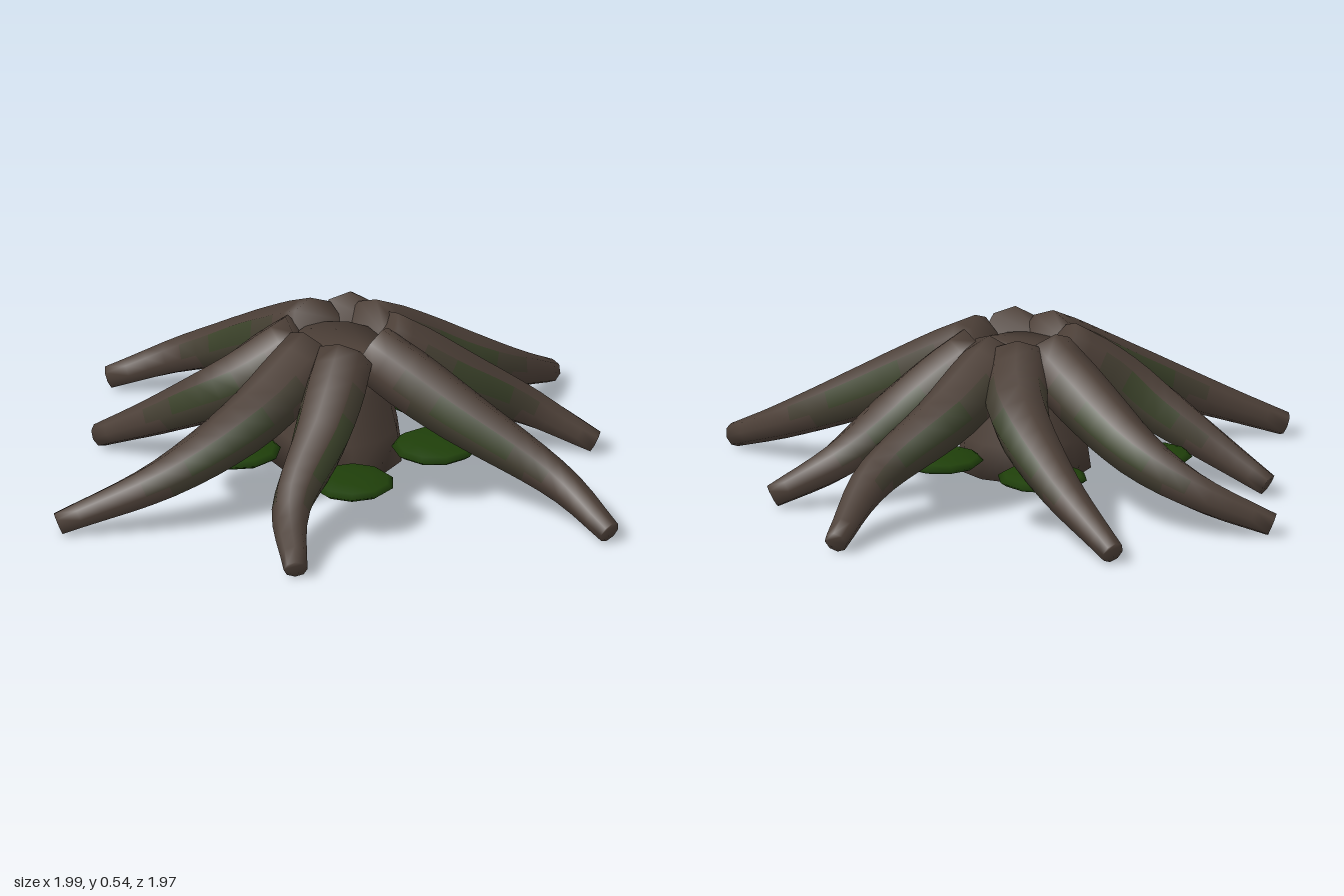
import * as THREE from 'three';

function material(name, color) {
  const m = new THREE.MeshStandardMaterial({ color });
  m.name = name;
  return m;
}
const bark = material('bark', 0x4d4038);
const faintMoss = material('faint moss', 0x443f32);
const moss = material('moss', 0x3b422a);
const leaf = material('leaf green', 0x1f3f0a);

const SIDES = 8, RINGS = 14;
const radii = [0.095, 0.101, 0.094, 0.081, 0.066, 0.051, 0.038];

// Moss grows on the flanks of each root, fading out at both ends
function coverAt(ring, sideIndex) {
  const upperFlank = sideIndex === 0 || sideIndex === 3;
  const lowerFlank = sideIndex === 4 || sideIndex === 7;
  if (upperFlank && ring >= 4 && ring <= 7) return 2;
  if (upperFlank && ring >= 2 && ring <= 9) return 1;
  if (lowerFlank && ring >= 3 && ring <= 8) return 1;
  return 0;
}

// Skin over equal rings of points, capped at both ends and shaded smoothly;
// cover(ring, side) picks the material of each face
function loft(rings, cover) {
  const n = rings[0].length, faces = [[], [], []];
  for (let i = 0; i < rings.length - 1; i++) {
    for (let j = 0; j < n; j++) {
      const a = i * n + j, b = i * n + (j + 1) % n;
      faces[cover(i, j)].push(a, a + n, b, b, a + n, b + n);
    }
  }
  const last = (rings.length - 1) * n;
  for (let j = 1; j < n - 1; j++) {
    faces[0].push(0, j, j + 1, last, last + j + 1, last + j);
  }
  const g = new THREE.BufferGeometry().setFromPoints(rings.flat());
  g.setIndex(faces.flat());
  let start = 0;
  faces.forEach((list, i) => {
    g.addGroup(start, list.length, i);
    start += list.length;
  });
  g.computeVertexNormals();
  return g;
}

// Ring of points around a centre, spanned by two axes
function ring(center, u, v, r, sides) {
  return Array.from({ length: sides }, (_, j) => {
    const a = (j / sides) * Math.PI * 2;
    return center.clone().addScaledVector(u, r * Math.cos(a)).addScaledVector(v, r * Math.sin(a));
  });
}

// Tapered root: plan path of [x, z] points, falling from the crown to the ground
function rootGeometry(path) {
  const points = path.map(([x, z]) => new THREE.Vector3(x, 0, z));
  let total = 0;
  const run = points.map((p, i) => (total += i ? p.distanceTo(points[i - 1]) : 0));
  points.forEach((p, i) => {
    const f = run[i] / total;
    p.y = 0.46 - 0.421 * f - 0.015 * Math.sin(f * Math.PI);
  });
  const curve = new THREE.CatmullRomCurve3(points);
  const up = new THREE.Vector3(0, 1, 0);
  const rings = [];
  for (let i = 0; i <= RINGS; i++) {
    const t = i / RINGS;
    const tan = curve.getTangentAt(t);
    const side = tan.clone().cross(up).normalize();
    const normal = side.clone().cross(tan);
    const k = Math.min(t * 6, 5.999), k0 = Math.floor(k);
    const r = THREE.MathUtils.lerp(radii[k0], radii[k0 + 1], k - k0);
    rings.push(ring(curve.getPointAt(t), side, normal, r, SIDES));
  }
  return loft(rings, coverAt);
}

export function createModel() {
  const model = new THREE.Group();
  model.name = 'rootCluster';

  // central stump, from its top down to the flared foot
  const xAxis = new THREE.Vector3(1, 0, 0), back = new THREE.Vector3(0, 0, -1);
  const stumpRings = [[0.14, 0.47], [0.165, 0.33], [0.2, 0.18], [0.215, 0.07]].map(
    ([r, y]) => ring(new THREE.Vector3(-0.005, y, 0), xAxis, back, r, 12));
  const stump = new THREE.Mesh(loft(stumpRings, () => 0), [bark]);
  stump.name = 'stump';
  model.add(stump);

  // spreading roots
  const roots = [
    [[-0.02, -0.145], [-0.015, -0.4], [0.045, -0.7], [-0.027, -0.972]],
    [[0.07, -0.13], [0.2, -0.34], [0.31, -0.57], [0.455, -0.7]],
    [[0.12, -0.03], [0.4, -0.13], [0.76, -0.255], [0.982, -0.25]],
    [[0.11, 0.08], [0.23, 0.3], [0.33, 0.53], [0.485, 0.66]],
    [[0, 0.11], [0.01, 0.38], [-0.08, 0.68], [-0.29, 0.957]],
    [[-0.1, 0.06], [-0.24, 0.24], [-0.44, 0.325], [-0.68, 0.395]],
    [[-0.13, -0.04], [-0.32, -0.08], [-0.6, -0.115], [-0.8, -0.065], [-0.972, 0.063]],
    [[-0.09, -0.14], [-0.22, -0.29], [-0.48, -0.415], [-0.782, -0.503]],
  ];
  for (const path of roots) {
    const root = new THREE.Mesh(rootGeometry(path), [bark, faintMoss, moss]);
    root.name = 'root';
    model.add(root);
  }

  // flat leaf pads beneath the roots
  const pads = [
    [-0.455, 0.095, 0.127], [0.33, 0.255, 0.135], [-0.105, 0.345, 0.142],
    [0.315, -0.125, 0.138], [0.04, -0.365, 0.138], [-0.338, -0.315, 0.145],
  ];
  const padGeometry = new THREE.SphereGeometry(1, 10, 6);
  pads.forEach(([x, z, r], i) => {
    const pad = new THREE.Mesh(padGeometry, leaf);
    pad.name = 'leafPad';
    pad.position.set(x, 0.161, z);
    pad.scale.set(r, 0.027, r);
    pad.rotation.y = i * 1.1;
    model.add(pad);
  });
  return model;
}
